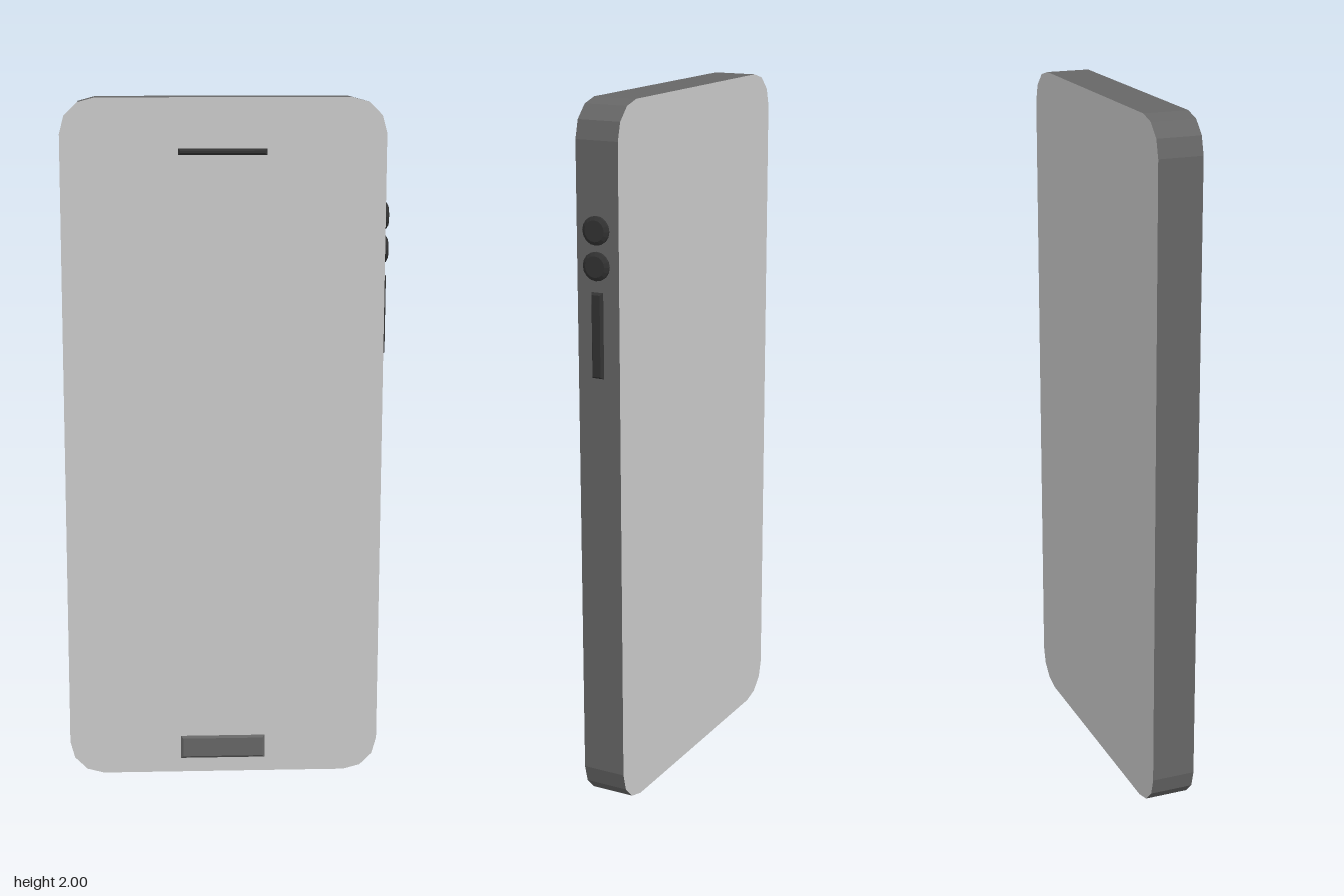
import * as THREE from 'three';

const paint = (color) => new THREE.MeshStandardMaterial({ color, flatShading: true });

// Box along +z whose front face is inset, giving a chamfered plate from z = 0 to depth
function plate(w, h, depth, inset) {
  const g = new THREE.BoxGeometry(w, h, depth).translate(0, 0, depth / 2);
  const p = g.attributes.position;
  for (let i = 0; i < p.count; i++) {
    if (p.getZ(i) < depth / 2) continue;
    p.setX(i, p.getX(i) - Math.sign(p.getX(i)) * inset);
    p.setY(i, p.getY(i) - Math.sign(p.getY(i)) * inset);
  }
  g.computeVertexNormals();
  return g;
}

// Rounded rectangle with three facets per corner
function outline(w, h, r) {
  const pts = [];
  const corners = [[1, 1], [-1, 1], [-1, -1], [1, -1]];
  corners.forEach(([sx, sy], c) => {
    for (let i = 0; i <= 3; i++) {
      const a = (c + i / 3) * Math.PI / 2;
      pts.push(new THREE.Vector2(sx * (w / 2 - r) + r * Math.cos(a), sy * (h / 2 - r) + r * Math.sin(a)));
    }
  });
  return new THREE.Shape(pts);
}

export function createModel() {
  const model = new THREE.Group();
  const grey = paint(0xcccccc), mid = paint(0x666666), dark = paint(0x333333);

  const add = (name, geometry, material, x, y, z) => {
    const mesh = new THREE.Mesh(geometry, material);
    mesh.name = name;
    mesh.position.set(x, y, z);
    model.add(mesh);
    return mesh;
  };

  // Slab: light front and back panels, darker rim
  const cx = -0.007, front = 0.06, back = -0.066, side = 0.452, bottom = 0.008;
  const slab = new THREE.ExtrudeGeometry(outline(0.917, 2 - bottom, 0.1), { depth: front - back, bevelEnabled: false });
  add('body', slab, [grey, mid], cx, 1 + bottom / 2, back);

  // Front details
  add('homeButton', plate(0.25, 0.07, 0.006, 0.007), mid, -0.01, 0.086, front);
  add('earpiece', plate(0.25, 0.018, 0.006, 0.006), dark, -0.01, 1.85, front);

  // Round volume buttons and mute slider on the left edge
  const profile = [[0.039, 0], [0.039, 0.007], [0.029, 0.013], [0, 0.013]].map(([r, y]) => new THREE.Vector2(r, y));
  for (const y of [1.665, 1.57]) {
    add('volumeButton', new THREE.LatheGeometry(profile, 16), dark, side, y, 0).rotation.z = -Math.PI / 2;
  }
  add('sideSwitch', plate(0.036, 0.235, 0.009, 0.006), dark, side, 1.382, 0).rotation.y = Math.PI / 2;

  // Speaker grilles and charging port along the bottom edge
  for (const s of [-1, 1]) {
    add('bottomGrille', plate(0.26, 0.04, bottom, 0.004), dark, -0.012 + s * 0.23, bottom, 0).rotation.x = Math.PI / 2;
  }
  add('chargingPort', plate(0.16, 0.04, 0.004, 0.003), dark, -0.012, bottom, 0).rotation.x = Math.PI / 2;

  return model;
}
